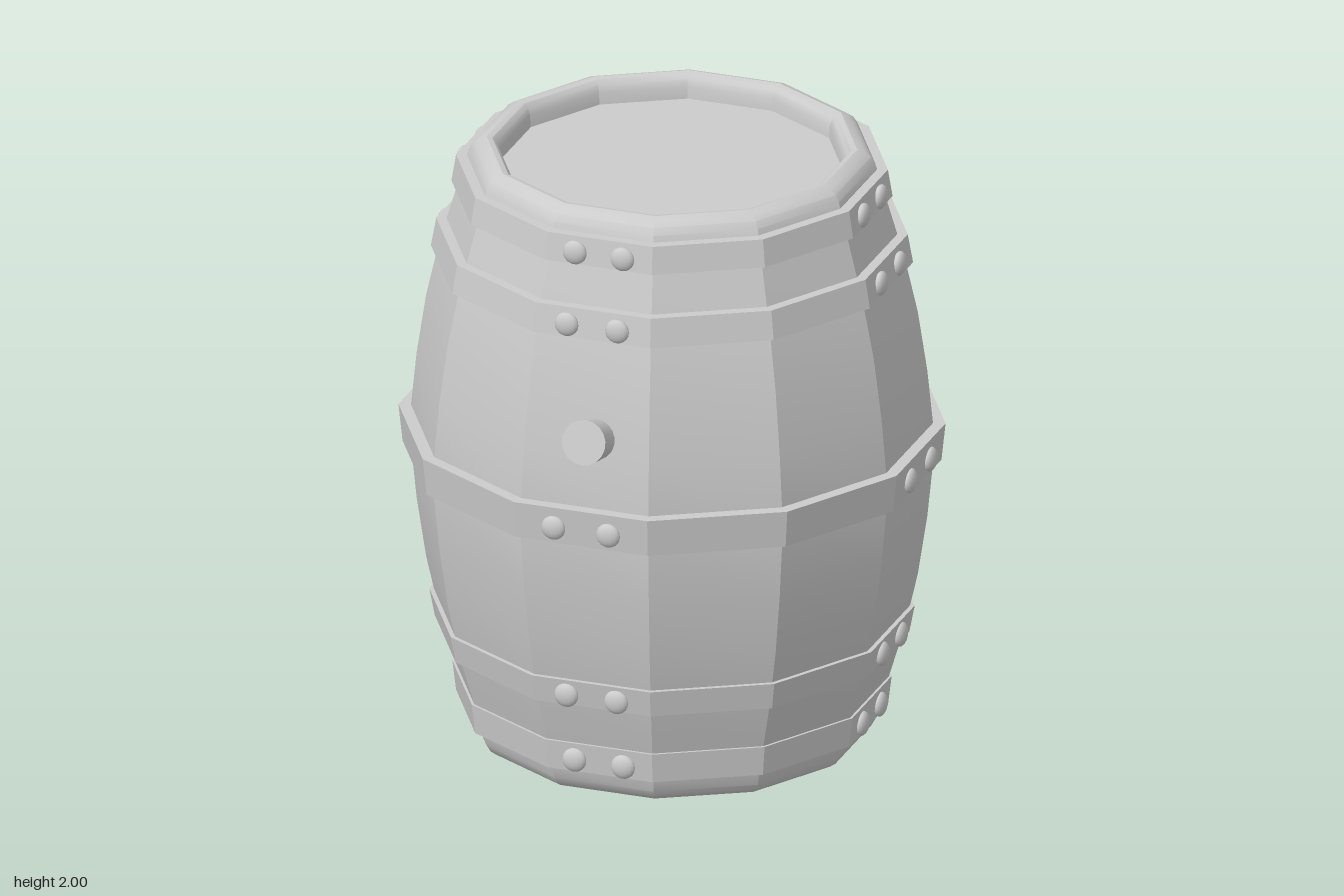
import * as THREE from 'three';
import { toCreasedNormals } from 'three/addons/utils/BufferGeometryUtils.js';

const SIDES = 12;
const TILT = Math.PI / 12; // middle of a stave, measured from its corner

export function createModel() {
  const barrel = new THREE.Group();
  barrel.name = 'barrel';
  const material = new THREE.MeshStandardMaterial({ color: 0xcccccc });

  const add = (name, geometry, parent = barrel) => {
    const mesh = new THREE.Mesh(geometry, material);
    mesh.name = name;
    parent.add(mesh);
    return mesh;
  };
  // Twelve-sided turned part: crisp between staves, smooth along the curve
  const turned = (points) => toCreasedNormals(
    new THREE.LatheGeometry(points.map(([r, y]) => new THREE.Vector2(r, y)), SIDES),
    THREE.MathUtils.degToRad(28));

  // Body: upper half profile from the waist over the rounded rim to the sunken lid
  const upper = [
    [0.835, 1], [0.81, 1.25], [0.78, 1.45], [0.737, 1.64], [0.69, 1.8], [0.655, 1.92],
    [0.645, 1.955], [0.632, 1.977], [0.612, 1.992], [0.588, 2], [0.57, 1.996],
    [0.557, 1.982], [0.549, 1.96], [0.546, 1.92], [0, 1.92],
  ];
  const lower = upper.slice(1).reverse().map(([r, y]) => [r, 2 - y]);
  add('body', turned([...lower, ...upper]));

  // Hoops: bottom y, top y, bottom radius, top radius, half the rivet spacing
  const hoops = [
    ['bottomHoop', 0.095, 0.195, 0.685, 0.697, 0.082],
    ['lowerHoop', 0.35, 0.44, 0.753, 0.77, 0.084],
    ['middleHoop', 0.945, 1.07, 0.855, 0.868, 0.092],
    ['upperHoop', 1.62, 1.715, 0.765, 0.748, 0.085],
    ['topHoop', 1.845, 1.935, 0.7, 0.685, 0.08],
  ];
  const rivetGeometry = new THREE.SphereGeometry(0.04, 16, 10).scale(1, 1, 0.5);

  for (const [name, y0, y1, r0, r1, spread] of hoops) {
    const group = new THREE.Group();
    group.name = name;
    barrel.add(group);
    const t = 0.07;
    add('band', turned([[r0 - t, y0], [r0, y0], [r1, y1], [r1 - t, y1], [r0 - t, y0]]), group);

    // A pair of rivets on one stave of each quarter
    const face = (r0 + r1) / 2 * Math.cos(TILT);
    for (let quarter = 0; quarter < 4; quarter++) {
      const stave = new THREE.Group();
      stave.name = 'rivetPair';
      stave.rotation.y = -TILT + quarter * Math.PI / 2;
      group.add(stave);
      for (const side of [-1, 1]) {
        add('rivet', rivetGeometry, stave)
          .position.set(side * spread, (y0 + y1) / 2 - 0.007, face + 0.004);
      }
    }
  }

  // Bung: short tapered plug leaning slightly upward out of the front stave
  const bungMount = new THREE.Group();
  bungMount.name = 'bungMount';
  bungMount.rotation.y = -TILT;
  barrel.add(bungMount);
  const bung = add('bung', toCreasedNormals(
    new THREE.CylinderGeometry(0.073, 0.063, 0.18, 18), 0.6), bungMount);
  bung.position.set(0.025, 1.302, 0.79);
  bung.rotation.x = Math.PI / 2 - 0.27;

  return barrel;
}
